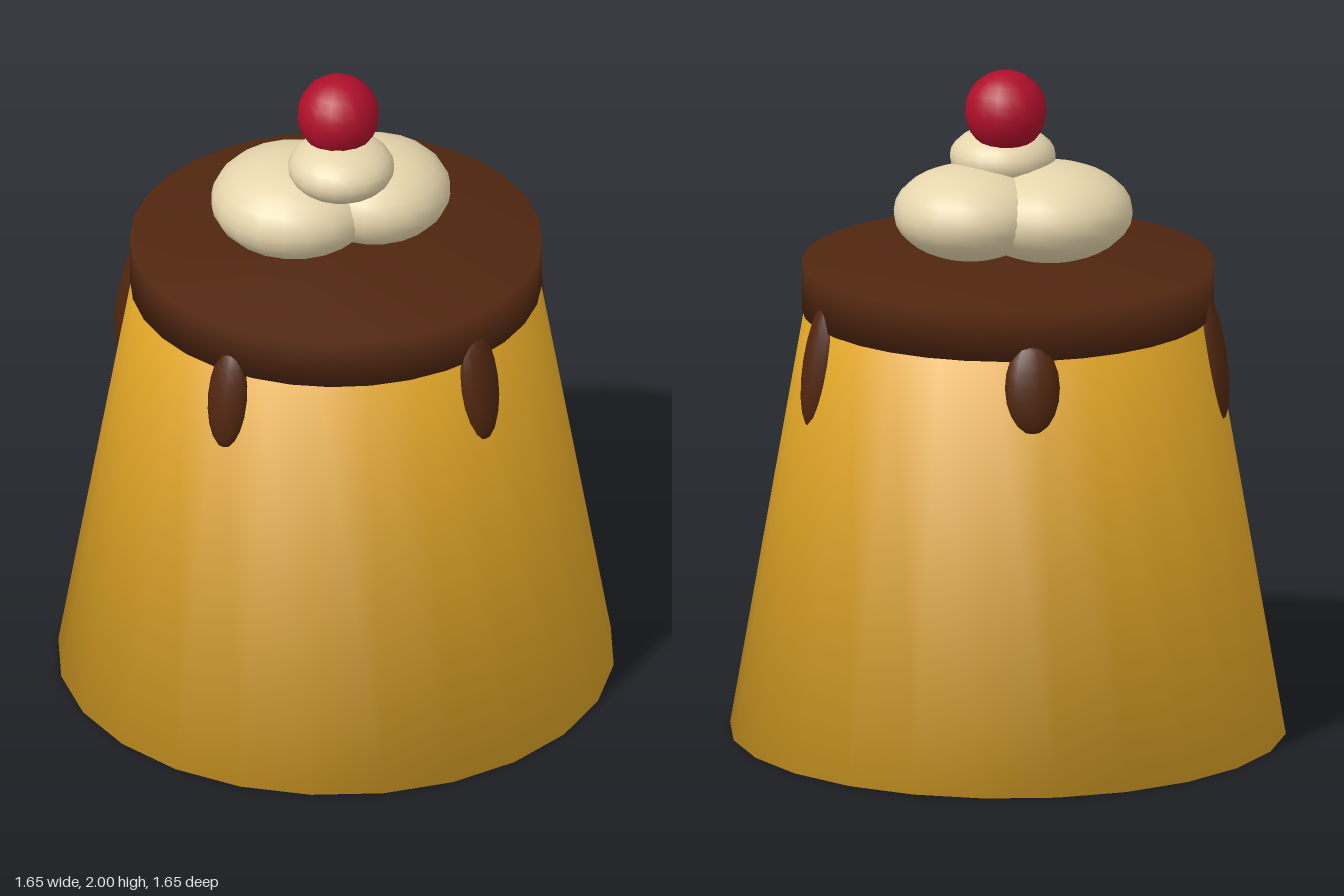
import * as THREE from 'three';

const material = (name, color) => {
  const m = new THREE.MeshStandardMaterial({ color });
  m.name = name;
  return m;
};

export function createModel() {
  const custard = material('custard yellow', 0xe0a526);
  const caramel = material('caramel brown', 0x50260f);
  const cream = material('whipped cream', 0xe6d5ac);
  const red = material('cherry red', 0xae0f2a);

  const model = new THREE.Group();
  model.name = 'pudding';

  const add = (name, geometry, mat, parent = model) => {
    const mesh = new THREE.Mesh(geometry, mat);
    mesh.name = name;
    parent.add(mesh);
    return mesh;
  };

  // Closed round block with softly shaded rims
  const block = (rBottom, yBottom, rTop, yTop, sides) => new THREE.LatheGeometry([
    new THREE.Vector2(0, yBottom),
    new THREE.Vector2(rBottom, yBottom),
    new THREE.Vector2(rTop, yTop),
    new THREE.Vector2(0, yTop),
  ], sides);

  add('custardBody', block(0.825, 0, 0.6, 1.3, 24), custard);
  add('caramelTop', block(0.61, 1.28, 0.61, 1.43, 32), caramel);

  // Caramel drips lying along the sloping wall: [x, z direction, lowest y, highest y, half width]
  const drips = new THREE.Group();
  drips.name = 'caramelDrips';
  model.add(drips);
  const slope = Math.atan(0.225 / 1.3);
  [
    [-0.405, 0.46, 1.03, 1.355, 0.066],
    [0.335, 0.5, 1.01, 1.375, 0.072],
    [0.6, -0.145, 0.985, 1.38, 0.064],
    [0.035, -0.6, 1.06, 1.335, 0.083],
    [-0.57, -0.215, 0.97, 1.395, 0.064],
  ].forEach(([x, z, low, high, width]) => {
    const pivot = new THREE.Group();
    pivot.name = 'drip';
    pivot.rotation.y = Math.atan2(x, z);
    drips.add(pivot);
    const drop = add('caramelDrip', new THREE.SphereGeometry(1, 14, 10), caramel, pivot);
    drop.scale.set(width, (high - low) / 2 / Math.cos(slope), 0.05);
    drop.position.set(0, (low + high) / 2, 0.605);
    drop.rotation.x = -slope;
  });

  // Flattened dollops of cream: [x, y, z, radius, half height]
  [
    ['creamRight', -0.125, 1.575, 0, 0.248, 0.146],
    ['creamLeft', 0.115, 1.585, -0.005, 0.228, 0.14],
    ['creamTop', 0, 1.728, 0.088, 0.158, 0.09],
  ].forEach(([name, x, y, z, radius, height]) => {
    const dollop = add(name, new THREE.SphereGeometry(1, 20, 14), cream);
    dollop.scale.set(radius, height, radius);
    dollop.position.set(x, y, z);
  });

  add('cherry', new THREE.SphereGeometry(0.122, 16, 12), red).position.set(0, 1.878, 0.038);

  return model;
}
